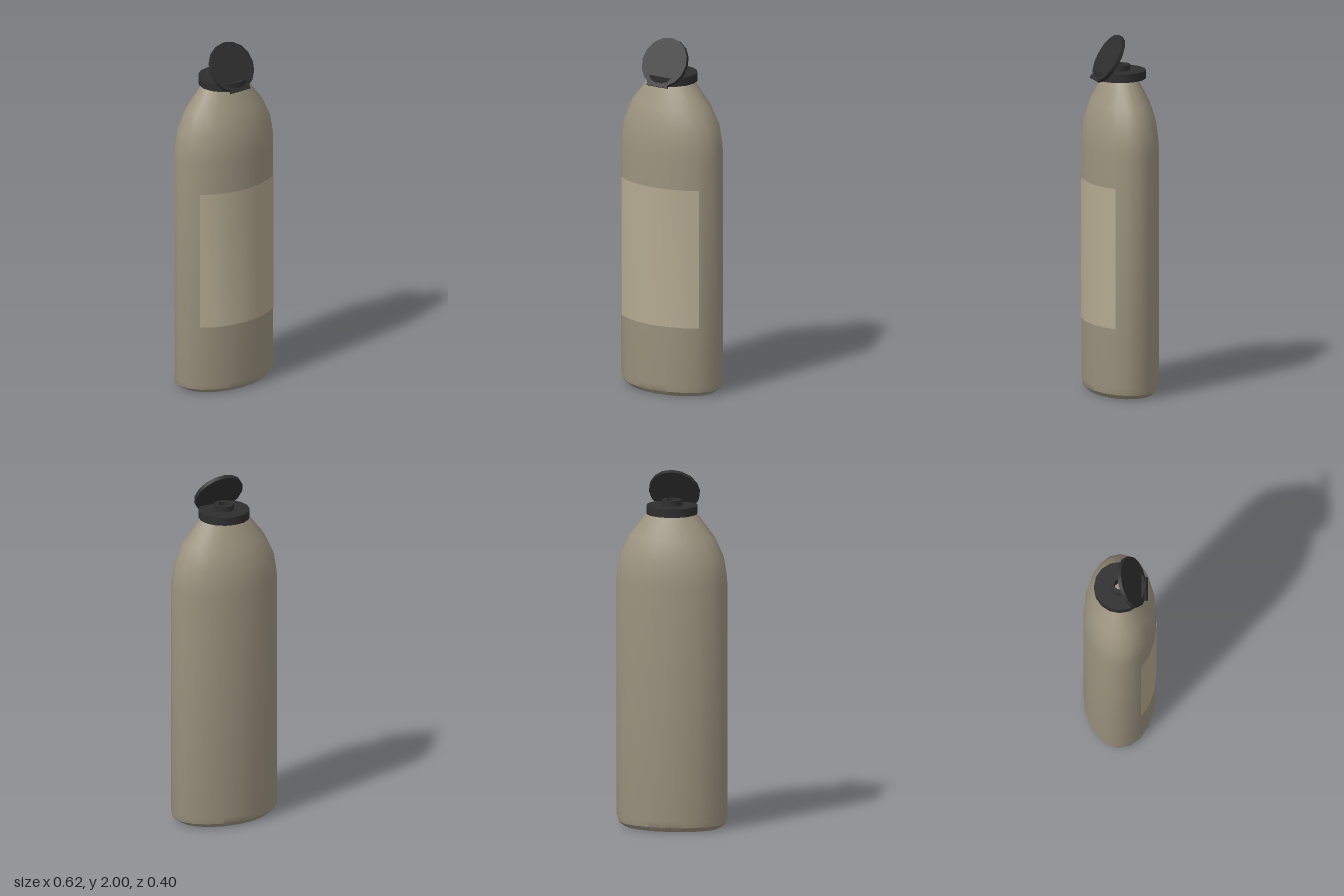
import * as THREE from 'three';
import { toCreasedNormals } from 'three/addons/utils/BufferGeometryUtils.js';

const FLATTEN = 0.2 / 0.312; // depth of the oval body relative to its width

const material = (color, side = THREE.FrontSide) =>
  new THREE.MeshStandardMaterial({ color, side });

// Turned shape from [radius, y] pairs, listed bottom to top on the outside
function lathe(points, segments, start = 0, length = Math.PI * 2) {
  return new THREE.LatheGeometry(
    points.map(([r, y]) => new THREE.Vector2(r, y)), segments, start, length);
}

function part(name, geometry, mat, crease = 0.6) {
  const mesh = new THREE.Mesh(toCreasedNormals(geometry, crease), mat);
  mesh.name = name;
  return mesh;
}

export function createModel() {
  const model = new THREE.Group();
  model.name = 'flipCapBottle';
  const bodyMat = material(0x9c937f);
  const labelMat = material(0xb5aa92, THREE.DoubleSide);
  const capMat = material(0x2e2e2e);

  // Oval body with bevelled foot and rounded shoulders
  const body = lathe([
    [0, 0], [0.265, 0], [0.303, 0.026], [0.312, 0.06], [0.312, 1.37],
    [0.309, 1.42], [0.292, 1.52], [0.24, 1.63], [0.14, 1.76], [0, 1.765],
  ], 20).scale(1, 1, FLATTEN);
  model.add(part('body', body, bodyMat));

  // Label wrapped round the front, just proud of the body
  const label = lathe([[0.316, 0.4], [0.316, 1.19]], 6, -0.3 * Math.PI, 0.6 * Math.PI)
    .scale(1, 1, FLATTEN);
  model.add(part('label', label, labelMat));

  // Cap base and spout with an open hole
  const cap = new THREE.Group();
  cap.name = 'cap';
  cap.add(part('capBase', lathe([
    [0.03, 1.758], [0.142, 1.758], [0.142, 1.805], [0.05, 1.805],
  ], 16), capMat));
  cap.add(part('spout', lathe([
    [0.055, 1.8], [0.055, 1.835], [0.031, 1.835], [0.031, 1.758],
  ], 16), capMat));

  // Half-open lid, with its hinge strip along the lower edge
  const lid = new THREE.Group();
  lid.name = 'lid';
  lid.add(part('lidDisc', new THREE.CylinderGeometry(0.142, 0.142, 0.022, 16), capMat));
  const hinge = part('hinge', new THREE.BoxGeometry(0.134, 0.012, 0.022), capMat);
  hinge.position.set(0, 0.013, 0.132);
  lid.add(hinge);
  lid.position.set(0, 1.872, 0.068);
  lid.rotation.x = Math.PI / 3;
  cap.add(lid);

  model.add(cap);
  return model;
}
